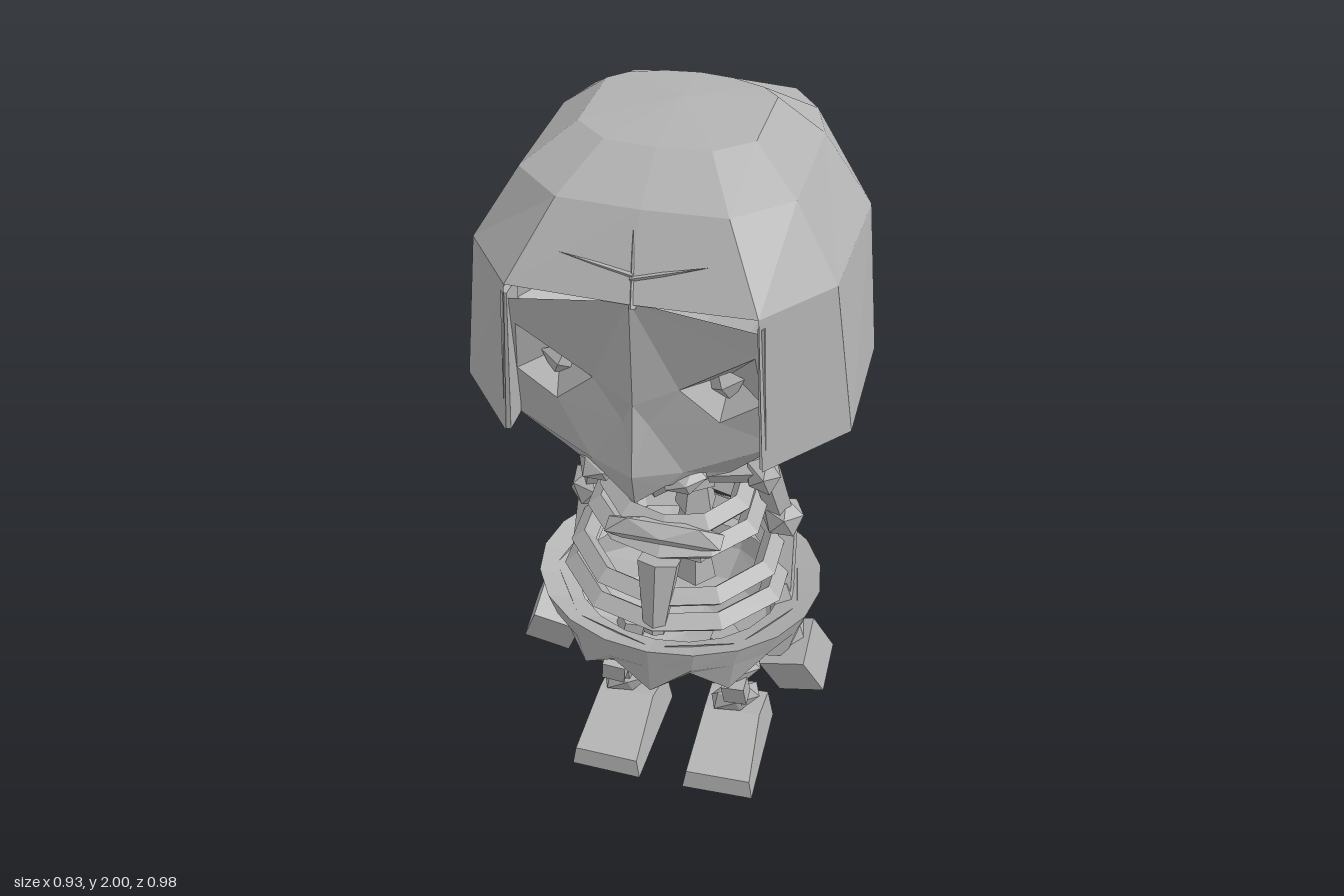
import * as THREE from 'three';

const bone = new THREE.MeshStandardMaterial({ color: 0xb2b2b2, flatShading: true, side: THREE.DoubleSide });
bone.name = 'bone grey';
const V = (p) => new THREE.Vector3(...p);

function add(parent, name, geo, pos = [0, 0, 0], rot = [0, 0, 0], scale = [1, 1, 1]) {
  const m = new THREE.Mesh(geo, bone);
  m.name = name;
  m.position.set(...pos);
  m.rotation.set(...rot);
  m.scale.set(...scale);
  parent.add(m);
  return m;
}

function fromTriangles(points, faces) {
  const g = new THREE.BufferGeometry();
  g.setAttribute('position', new THREE.Float32BufferAttribute(points.flat(), 3));
  g.setIndex(faces.flat());
  g.computeVertexNormals();
  return g;
}

// Skin closed rings from top to bottom; skip(ring, segment) leaves an opening
function loft(rings, skip = () => false) {
  const n = rings[0].length, faces = [];
  for (let r = 0; r < rings.length - 1; r++) {
    for (let i = 0; i < n; i++) {
      if (skip(r, i)) continue;
      const a = r * n + i, b = r * n + (i + 1) % n;
      faces.push([a, a + n, b], [b, a + n, b + n]);
    }
  }
  return fromTriangles(rings.flat(), faces);
}

// Half outline [x, z] from front centre to back centre, mirrored into a ring
function mirrorRing(half, y) {
  const other = half.slice(1, -1).reverse().map(([x, z]) => [-x, z]);
  return [...half, ...other].map(([x, z]) => [x, y, z]);
}

function ovalRing(n, rx, rz, y, cz = 0.05, alt = 0) {
  return Array.from({ length: n }, (_, i) => {
    const a = (i / n) * Math.PI * 2;
    return [Math.sin(a) * rx, y + (i % 2) * alt, cz + Math.cos(a) * rz];
  });
}

// Faceted shaft between two points
function shaft(parent, name, a, b, r1, r2, sides = 5) {
  const p = V(a), q = V(b), d = q.clone().sub(p);
  const m = add(parent, name, new THREE.CylinderGeometry(r2, r1, d.length(), sides));
  m.position.copy(p).add(q).multiplyScalar(0.5);
  m.quaternion.setFromUnitVectors(new THREE.Vector3(0, 1, 0), d.normalize());
}

const knob = (parent, name, pos, size, rot = [0.3, 0.4, 0.2]) =>
  add(parent, name, new THREE.IcosahedronGeometry(1, 0), pos, rot, size);

function buildHead(root) {
  const head = new THREE.Group();
  head.name = 'head';
  root.add(head);

  // Helmet of hair with a face opening in its lowest band
  const low = [[0, 0.48], [0.3, 0.47], [0.465, 0.27], [0.46, -0.08], [0.37, -0.26], [0.2, -0.38], [0, -0.41]];
  const mid = [[0, 0.475], [0.28, 0.465], [0.415, 0.29], [0.425, -0.08], [0.35, -0.24], [0.2, -0.37], [0, -0.39]];
  const high = [[0, 0.37], [0.19, 0.36], [0.31, 0.25], [0.31, -0.07], [0.27, -0.19], [0.2, -0.28], [0, -0.29]];
  const top = [[0, 0.24], [0.12, 0.23], [0.2, 0.16], [0.2, -0.06], [0.16, -0.1], [0.08, -0.13], [0, -0.14]];
  const crown = mirrorRing(top.map(() => [0, 0.02]), 2);
  const n = 12;
  add(head, 'hair', loft(
    [crown, mirrorRing(top, 1.985), mirrorRing(high, 1.905), mirrorRing(mid, 1.735), mirrorRing(low, 1.34)],
    (r, i) => r === 3 && (i === 0 || i === n - 1)));

  // Underside of the skull, tucked behind the face
  const tuck = (s, y) => mirrorRing(low.map(([x, z]) => [x * s, Math.min(z * s, 0.33)]), y);
  add(head, 'skullBase', loft([tuck(1, 1.34), tuck(0.86, 1.3), tuck(0.52, 1.215), tuck(0, 1.215)]));

  // Face half: brow, sunken eye socket, cheek and nose ridge
  const face = fromTriangles([
    [0, 1.74, 0.47], [0.29, 1.69, 0.45], [0.32, 1.35, 0.38], [0.1, 1.5, 0.43],
    [0.27, 1.62, 0.44], [0.285, 1.48, 0.41], [0.19, 1.42, 0.42], [0, 1.46, 0.46],
    [0, 1.27, 0.48], [0.11, 1.27, 0.43], [0.2, 1.22, 0.34], [0.38, 1.34, 0.25],
    [0.2, 1.51, 0.35], [0.03, 1.4, 0.44], [0, 1.18, 0.46], [0.07, 1.23, 0.44],
  ], [
    [0, 7, 3], [0, 3, 4], [0, 4, 1], [1, 4, 5], [1, 5, 2], [5, 6, 2],
    [3, 12, 4], [4, 12, 5], [5, 12, 6], [6, 12, 3],
    [7, 13, 3], [3, 13, 6], [7, 8, 13], [13, 9, 6], [13, 8, 9], [6, 9, 2],
    [2, 9, 10], [2, 10, 11], [8, 15, 9], [8, 14, 15], [9, 15, 10], [1, 2, 11],
  ]);
  for (const s of [1, -1]) {
    add(head, 'faceHalf', face, [0, 0, 0], [0, 0, 0], [s, 1, 1]);
    add(head, 'eye', new THREE.OctahedronGeometry(1), [s * 0.19, 1.5, 0.38], [0, 0, s * 0.4], [0.05, 0.05, 0.025]);
    // Inner edge of the hair beside the face
    add(head, 'hairEdge', new THREE.BoxGeometry(0.015, 0.37, 0.07), [s * 0.292, 1.525, 0.425], [0, 0, s * 0.04]);
    // Jaw sides and mouth corners
    shaft(head, 'jawSide', [s * 0.16, 1.185, 0.12], [s * 0.06, 1.16, 0.24], 0.055, 0.06);
    knob(head, 'mouthCorner', [s * 0.1, 1.235, 0.39], [0.06, 0.03, 0.06]);
  }
  knob(head, 'chin', [0, 1.155, 0.22], [0.1, 0.09, 0.125], [0.5, 0, 0]);

  // Pointed knot at the back of the hair
  add(head, 'hairKnot', loft([
    [[-0.16, 1.64, -0.36], [0, 1.62, -0.42], [0.16, 1.64, -0.36]],
    [[-0.18, 1.56, -0.38], [0, 1.56, -0.48], [0.18, 1.56, -0.38]],
    [[-0.2, 1.36, -0.37], [0.01, 1.35, -0.495], [0.2, 1.36, -0.37]],
    [[0, 1.36, -0.37], [0, 1.36, -0.37], [0, 1.36, -0.37]],
  ]));

  // Loose slivers of hair lying along the back and brow
  const sliver = new THREE.ConeGeometry(0.012, 0.2, 3);
  for (const [x, y, z, ry] of [[0.05, 1.83, -0.335, 0], [-0.1, 1.69, -0.382, 0.05],
    [0.28, 1.68, -0.31, -0.62], [-0.28, 1.5, -0.317, 0.62], [0.28, 1.47, -0.317, -0.62]]) {
    add(head, 'hairSliver', sliver, [x, y, z], [0, ry, Math.PI / 2]);
  }
  for (const [x, a] of [[-0.08, 1.4], [0.08, -1.3], [0, 0.1]]) {
    add(head, 'browSliver', new THREE.ConeGeometry(0.01, 0.17, 3), [x, 1.8, 0.435], [-0.5, 0, a]);
  }
}

function buildTorso(root) {
  const torso = new THREE.Group();
  torso.name = 'torso';
  root.add(torso);
  shaft(torso, 'neck', [0, 0.88, -0.1], [0, 1.25, -0.01], 0.075, 0.065);
  for (let i = 0; i < 5; i++) {
    add(torso, 'vertebra', new THREE.CylinderGeometry(0.045, 0.06, 0.08, 5), [0, 0.84 - i * 0.085, -0.12], [0, i, 0]);
  }

  // Ribs drooping forward: height at back, drop, half width, front z, back z
  for (const [y, drop, w, zf, zb] of [[0.97, 0.07, 0.18, 0.2, -0.1], [0.89, 0.04, 0.21, 0.24, -0.12],
    [0.77, 0.05, 0.26, 0.28, -0.18], [0.68, 0.03, 0.28, 0.3, -0.19]]) {
    const pts = Array.from({ length: 10 }, (_, i) => {
      const a = (i / 10) * Math.PI * 2, c = Math.cos(a);
      return new THREE.Vector3(Math.sin(a) * w, y - drop * (c + 1) / 2, (zf + zb) / 2 + c * (zf - zb) / 2);
    });
    add(torso, 'rib', new THREE.TubeGeometry(new THREE.CatmullRomCurve3(pts, true), 10, 0.033, 4, true));
  }
  knob(torso, 'breastPlate', [0, 0.88, 0.21], [0.18, 0.05, 0.045], [0.3, 0, 0]);
  add(torso, 'sternum', new THREE.CylinderGeometry(0.06, 0.03, 0.21, 6), [0, 0.73, 0.285], [-0.25, 0, 0], [1, 1, 0.7]);
  add(torso, 'collar', new THREE.CylinderGeometry(0.12, 0.07, 0.06, 6), [0, 0.99, 0.06], [0.2, 0, 0], [1.1, 1, 0.6]);

  // Pelvis bowl wrapped by a jagged skirt
  const n = 20;
  add(torso, 'pelvis', loft([ovalRing(9, 0.34, 0.3, 0.61), ovalRing(9, 0.32, 0.28, 0.49),
    ovalRing(9, 0.25, 0.21, 0.41, 0.03), ovalRing(9, 0.11, 0.12, 0.355, 0.01), ovalRing(9, 0, 0, 0.33, 0)]));
  add(torso, 'skirt', loft([ovalRing(n, 0.28, 0.25, 0.59), ovalRing(n, 0.385, 0.335, 0.625),
    ovalRing(n, 0.36, 0.325, 0.56), ovalRing(n, 0.335, 0.31, 0.46, 0.05, 0.075)]));
}

function buildLimbs(root) {
  // Foot side profile as [z, y]
  const profile = new THREE.Shape([[-0.06, 0], [0.27, 0], [0.265, 0.06], [0.07, 0.125], [-0.05, 0.1]]
    .map((p) => new THREE.Vector2(...p)));
  const foot = new THREE.ExtrudeGeometry(profile, { depth: 0.2, bevelEnabled: false });
  foot.translate(0, 0, -0.1).rotateY(-Math.PI / 2);
  const p = foot.attributes.position;
  for (let i = 0; i < p.count; i++) p.setX(i, p.getX(i) * (1 - p.getY(i) * 1.6));

  for (const s of [1, -1]) {
    const side = s > 0 ? 'left' : 'right';
    const arm = new THREE.Group(), leg = new THREE.Group();
    arm.name = side + 'Arm';
    leg.name = side + 'Leg';
    root.add(arm, leg);

    // Arm
    shaft(arm, 'collarBone', [s * 0.08, 0.99, 0.07], [s * 0.23, 1.01, 0.04], 0.03, 0.04);
    knob(arm, 'shoulder', [s * 0.215, 0.995, 0.04], [0.05, 0.065, 0.065]);
    shaft(arm, 'upperArm', [s * 0.22, 1.0, 0.03], [s * 0.26, 0.82, -0.01], 0.04, 0.035);
    knob(arm, 'elbow', [s * 0.265, 0.815, -0.01], [0.06, 0.065, 0.06], [0.1, s * 0.5, 0.4]);
    shaft(arm, 'forearm', [s * 0.27, 0.8, -0.03], [s * 0.28, 0.6, 0.04], 0.035, 0.035);
    shaft(arm, 'wrist', [s * 0.27, 0.62, 0.04], [s * 0.33, 0.48, 0.1], 0.035, 0.05);
    add(arm, 'hand', new THREE.BoxGeometry(0.13, 0.15, 0.14), [s * 0.34, 0.43, 0.1], [0.35, 0, s * 0.35]);

    // Leg
    shaft(leg, 'thigh', [s * 0.13, 0.42, 0.06], [s * 0.15, 0.32, 0.07], 0.045, 0.045);
    knob(leg, 'knee', [s * 0.16, 0.31, 0.07], [0.085, 0.05, 0.06]);
    add(leg, 'kneeCap', new THREE.BoxGeometry(0.065, 0.07, 0.05), [s * 0.175, 0.26, 0.11], [0.2, 0, s * 0.1]);
    shaft(leg, 'shin', [s * 0.165, 0.3, 0.08], [s * 0.165, 0.16, 0.04], 0.03, 0.035);
    knob(leg, 'ankle', [s * 0.16, 0.16, 0.04], [0.08, 0.05, 0.045]);
    add(leg, 'foot', foot, [s * 0.155, 0, 0], [0, s * 0.03, 0]);
  }
}

export function createModel() {
  const root = new THREE.Group();
  root.name = 'skeletonFigure';
  buildHead(root);
  buildTorso(root);
  buildLimbs(root);
  return root;
}
